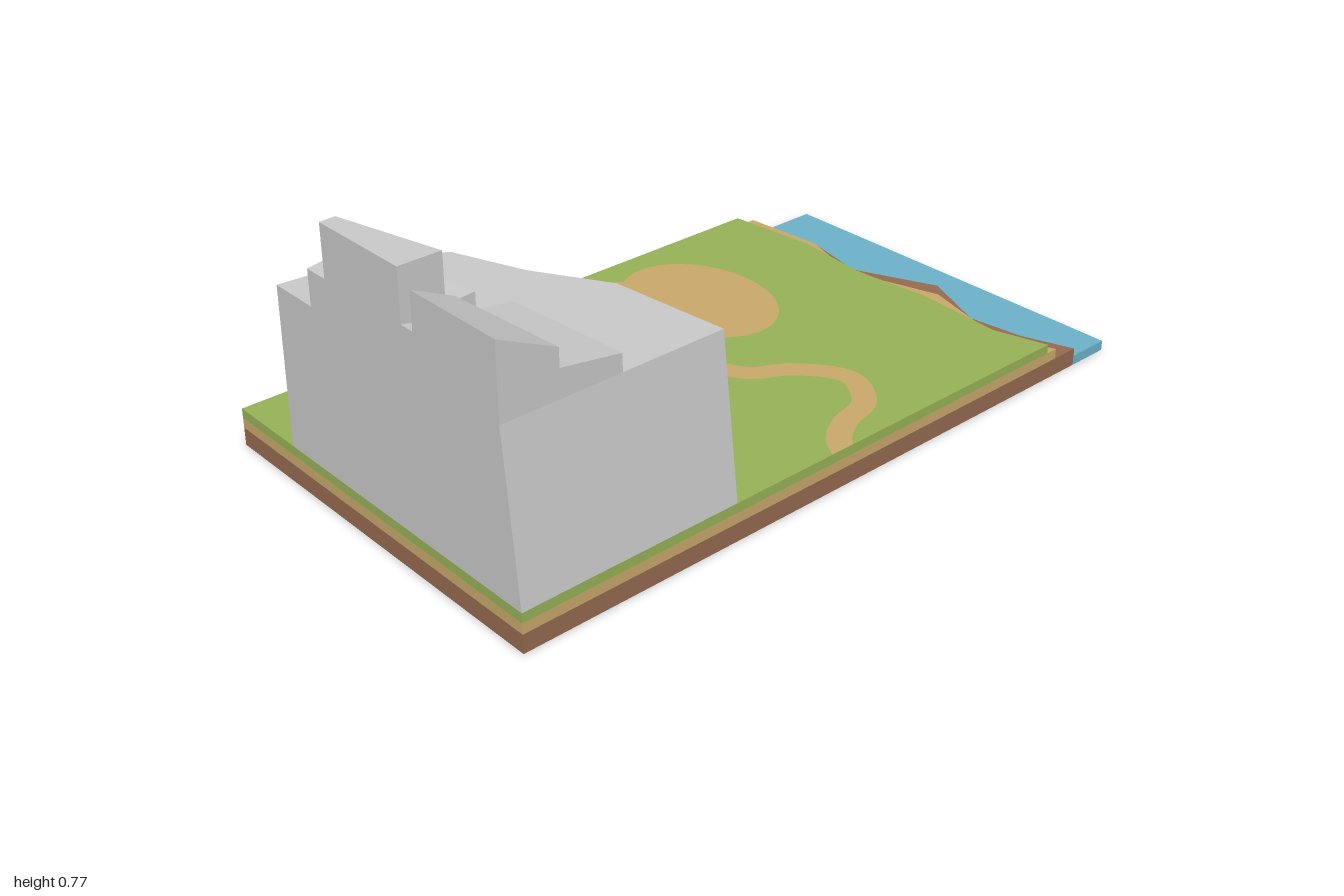
import * as THREE from 'three';

const makeMaterial = (name, color) =>
  new THREE.MeshStandardMaterial({ name, color, side: THREE.DoubleSide });

// Block with vertical or leaning sides and an open underside.
// base: [x, z] clockwise seen from above; top: [x, z] per base point;
// topY: number or function (x, z); walls: how many edges get a side face.
function block(base, bottomY, topY, top = base, walls = base.length) {
  const height = typeof topY === 'function' ? topY : () => topY;
  const low = base.map(([x, z]) => new THREE.Vector3(x, bottomY, z));
  const high = top.map(([x, z]) => new THREE.Vector3(x, height(x, z), z));
  const points = [];
  for (let i = 0; i < walls; i++) {
    const j = (i + 1) % base.length;
    points.push(low[i], high[i], high[j], low[i], high[j], low[j]);
  }
  const outline = top.map(([x, z]) => new THREE.Vector2(x, z));
  for (const [a, b, c] of THREE.ShapeUtils.triangulateShape(outline, [])) {
    points.push(high[a], high[c], high[b]);
  }
  const geometry = new THREE.BufferGeometry().setFromPoints(points);
  geometry.computeVertexNormals();
  return geometry;
}

export function createModel() {
  const group = new THREE.Group();
  group.name = 'coastalTerrain';
  const earth = makeMaterial('earth brown', 0x966a50);
  const sand = makeMaterial('sand', 0xc9a96b);
  const grass = makeMaterial('grass green', 0x97b257);
  const water = makeMaterial('water blue', 0x6cb2ca);
  const rock = makeMaterial('rock grey', 0xc9c9c9);

  const add = (name, geometry, material, parent = group) => {
    const mesh = new THREE.Mesh(geometry, material);
    mesh.name = name;
    parent.add(mesh);
    return mesh;
  };

  // Ground layers, each with its own ragged shoreline at the back
  const W = 0.57;
  const earthShore = [[-W, -0.797], [-0.37, -0.828], [-0.165, -0.785], [0.07, -0.887],
    [0.267, -0.803], [0.425, -0.823], [W, -0.873]];
  const sandShore = [[-W, -0.765], [-0.325, -0.785], [-0.177, -0.738], [-0.025, -0.75],
    [0.145, -0.802], [0.415, -0.728], [W, -0.79]];
  const grassShore = [[-W, -0.7], [-0.3, -0.727], [-0.07, -0.703], [0.155, -0.727],
    [0.415, -0.71], [W, -0.753]];
  const layer = (shore) => [...shore, [W, 1], [-W, 1]];
  add('earthLayer', block(layer(earthShore), 0, 0.05), earth);
  add('sandLayer', block(layer(sandShore), 0.05, 0.079), sand);
  add('grassLayer', block(layer(grassShore), 0.079, 0.105), grass);

  // Water meeting the earth shoreline
  const waterOutline = [earthShore[0], [-W, -1], [W, -1], ...earthShore.slice(1).reverse()];
  add('water', block(waterOutline, 0, 0.028, waterOutline, 3), water);

  // Sandy clearing made of two overlapping ovals
  const pathY = 0.1065;
  for (const [x, z, rx, rz] of [[-0.245, -0.245, 0.25, 0.19], [-0.35, -0.105, 0.142, 0.105]]) {
    const oval = new THREE.CircleGeometry(1, 40).rotateX(-Math.PI / 2);
    add('clearing', oval.scale(rx, 1, rz).translate(x, pathY, z), sand);
  }

  // Winding path, clipped at the edge of the ground
  const curve = new THREE.CatmullRomCurve3([[-0.14, -0.155], [-0.077, -0.06], [0.04, -0.01],
    [0.15, -0.06], [0.21, -0.155], [0.335, -0.235], [0.45, -0.17], [0.485, -0.065],
    [0.53, 0.005], [0.6, 0.05]].map(([x, z]) => new THREE.Vector3(x, pathY, z)));
  const leftSide = [], rightSide = [];
  const steps = 60;
  for (let i = 0; i <= steps; i++) {
    const p = curve.getPointAt(i / steps);
    const t = curve.getTangentAt(i / steps);
    for (const [side, s] of [[leftSide, 0.032], [rightSide, -0.032]]) {
      side.push(new THREE.Vector3(Math.min(W, p.x + t.z * s), pathY, p.z - t.x * s));
    }
  }
  const ribbon = [];
  for (let i = 0; i < steps; i++) {
    ribbon.push(leftSide[i], rightSide[i], rightSide[i + 1],
      leftSide[i], rightSide[i + 1], leftSide[i + 1]);
  }
  const pathGeometry = new THREE.BufferGeometry().setFromPoints(ribbon);
  // Turn the faces upward
  const pos = pathGeometry.attributes.position;
  pathGeometry.computeVertexNormals();
  if (pathGeometry.attributes.normal.getY(0) < 0) {
    pathGeometry.setIndex(Array.from({ length: pos.count }, (_, i) => pos.count - 1 - i));
    pathGeometry.computeVertexNormals();
  }
  add('path', pathGeometry, sand);

  // Cliff: craggy base with leaning facets
  const cliff = new THREE.Group();
  cliff.name = 'cliff';
  group.add(cliff);
  const cliffFoot = [[-0.33, 1], [-0.315, 0.76], [-0.193, 0.565], [0, 0.515],
    [0.11, 0.405], [W, 0.38], [W, 1]];
  const cliffTop = [[-0.325, 1], [-0.308, 0.78], [-0.2, 0.6], [0, 0.527],
    [0.195, 0.415], [0.525, 0.385], [0.525, 1]];
  add('cliffBase', block(cliffFoot, 0.105, 0.54, cliffTop), rock, cliff);

  // Stepped ledges on top of the cliff
  add('leftLowerLedge', block([[-0.19, 0.883], [0.19, 0.807], [0.19, 1], [-0.178, 1]],
    0.54, (x, z) => 0.635 + (1 - z) * 0.08), rock, cliff);
  add('leftUpperLedge', block([[-0.11, 0.957], [0.19, 0.885], [0.19, 1], [-0.107, 1]],
    0.635, 0.773), rock, cliff);
  add('rightLowerLedge', block([[0.19, 0.706], [0.525, 0.676], [0.525, 1], [0.19, 1]],
    0.54, (x, z) => 0.637 - (1 - z) * 0.155), rock, cliff);
  add('rightUpperLedge', block([[0.232, 0.888], [0.525, 0.843], [0.525, 1], [0.232, 1]],
    0.61, (x, z) => 0.735 - (1 - z) * 0.47), rock, cliff);

  return group;
}
